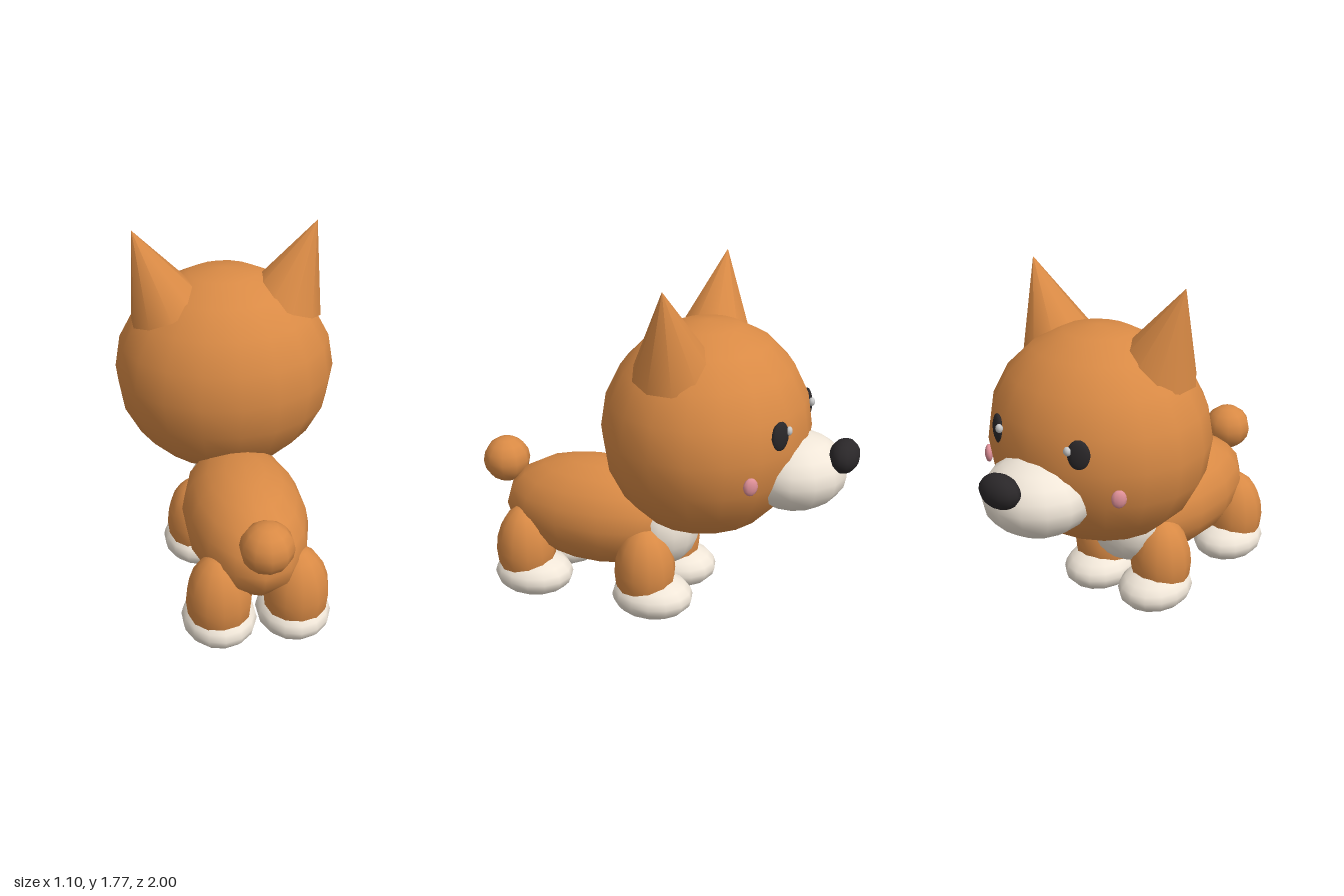
import * as THREE from 'three';

const material = (color) => new THREE.MeshStandardMaterial({ color });

export function createModel() {
  const model = new THREE.Group();
  const fur = material(0xd98a45);
  const cream = material(0xf0e6d8);
  const black = material(0x2a2729);
  const pink = material(0xdf9098);
  const white = material(0xf4f4f4);

  function add(name, geometry, mat, position) {
    const mesh = new THREE.Mesh(geometry, mat);
    mesh.name = name;
    mesh.position.set(...position);
    model.add(mesh);
    return mesh;
  }

  // Ellipsoid with its seam turned so that a vertex lies on the z axis
  function blob(name, mat, position, radii, w = 12, h = 8) {
    const geometry = new THREE.SphereGeometry(1, w, h);
    geometry.rotateY(Math.PI / 2).scale(...radii);
    return add(name, geometry, mat, position);
  }

  // Body, chest and tail
  blob('body', fur, [0, 0.46, 0.34], [0.3, 0.28, 0.525], 14, 10);
  blob('chest', cream, [0, 0.44, -0.03], [0.21, 0.22, 0.178], 14, 10);
  blob('tail', fur, [0, 0.65, 0.877], [0.126, 0.122, 0.123], 10, 8);

  // Head, muzzle and nose (the face looks toward -z)
  blob('head', fur, [0, 1.003, -0.243], [0.557, 0.533, 0.508], 18, 10);
  blob('muzzle', cream, [0, 0.84, -0.69], [0.265, 0.185, 0.255], 14, 10);
  blob('nose', black, [0, 0.945, -0.928], [0.109, 0.081, 0.072], 12, 10);

  for (const side of [1, -1]) {
    const label = side > 0 ? 'left' : 'right';

    // Legs with paws set slightly forward
    for (const [end, z] of [['Front', 0.01], ['Back', 0.682]]) {
      blob(label + end + 'Leg', fur, [side * 0.185, 0.25, z], [0.158, 0.237, 0.155], 12, 10);
      blob(label + end + 'Paw', cream, [side * 0.18, 0.113, z - 0.038], [0.18, 0.111, 0.21], 14, 10);
    }

    // Ear: cone leaning outward
    const apex = new THREE.Vector3(side * 0.45, 1.77, -0.185);
    const base = new THREE.Vector3(side * 0.292, 1.365, -0.178);
    const axis = apex.clone().sub(base);
    const ear = add(label + 'Ear', new THREE.ConeGeometry(0.195, axis.length(), 10), fur,
      apex.clone().add(base).multiplyScalar(0.5).toArray());
    ear.quaternion.setFromUnitVectors(new THREE.Vector3(0, 1, 0), axis.normalize());

    // Eye with highlight, and cheek
    const eye = blob(label + 'Eye', black, [side * 0.243, 1.095, -0.678], [0.053, 0.073, 0.022], 12, 10);
    eye.rotation.y = -side * 0.5;
    blob(label + 'EyeHighlight', white, [side * 0.205, 1.115, -0.71], [0.02, 0.022, 0.016], 8, 6);
    const cheek = blob(label + 'Cheek', pink, [side * 0.4, 0.898, -0.594], [0.036, 0.044, 0.02], 10, 8);
    cheek.rotation.y = -side * 0.82;
  }

  return model;
}
